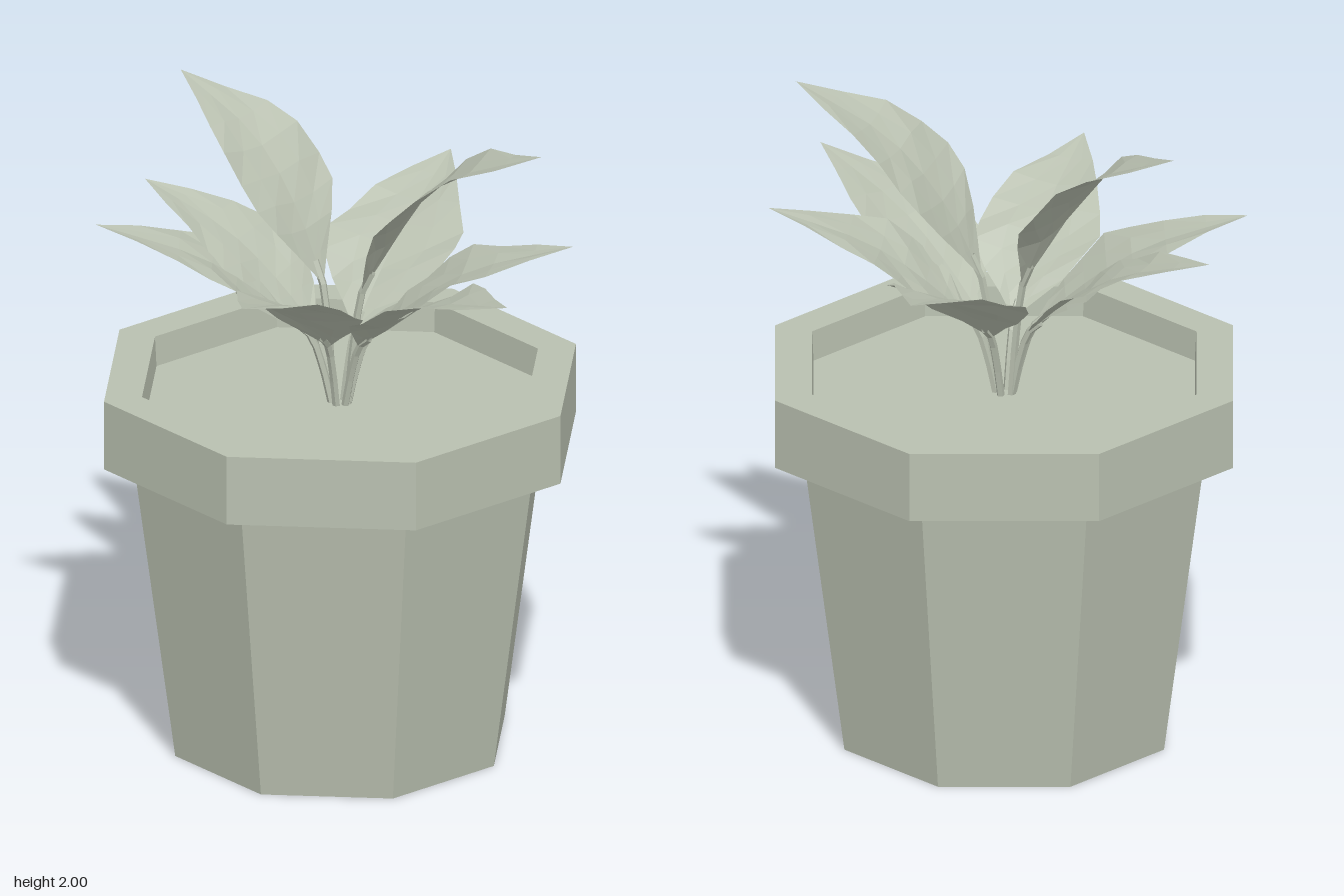
import * as THREE from 'three';

const sage = new THREE.MeshStandardMaterial({ color: 0xb9c0b0, flatShading: true, side: THREE.DoubleSide });
sage.name = 'sage grey';

// Eight-sided turned part from [radius, height] pairs
function turned(name, points) {
  const profile = points.map(([r, y]) => new THREE.Vector2(r, y));
  const mesh = new THREE.Mesh(new THREE.LatheGeometry(profile, 8), sage);
  mesh.name = name;
  return mesh;
}

// Midrib shapes: [fraction of the reach, height]
const LOW = [[0.12, 1.3], [0.3, 1.42], [0.56, 1.545], [1, 1.65]];
const HIGH = [[0.11, 1.46], [0.26, 1.66], [0.53, 1.86], [1, 2]];
// Half-width along the leaf, as a fraction of the widest point
const OUTLINE = [0.04, 0.34, 0.68, 0.92, 1, 0.93, 0.7, 0.36, 0];

// Leaf blade: cross-sections swept along the midrib, slightly folded and wavy
function leafBlade(midrib, side, halfWidth, seed) {
  const rows = OUTLINE.length, cols = 5;
  const positions = [], index = [];
  for (let i = 0; i < rows; i++) {
    const t = i / (rows - 1);
    const centre = midrib.getPoint(t);
    for (let j = 0; j < cols; j++) {
      const s = j / 2 - 1;
      const w = OUTLINE[i] * halfWidth;
      const wave = Math.sin(i * 2.1 + j * 1.7 + seed) * 0.012 * Math.abs(s) * OUTLINE[i];
      const p = centre.clone().addScaledVector(side, s * w * (1 + 0.05 * Math.sin(seed + i * 1.9 + s)));
      p.y += Math.abs(s) * w * 0.12 + wave;
      positions.push(p.x, p.y, p.z);
      if (i < rows - 1 && j < cols - 1) {
        const a = i * cols + j, b = a + cols;
        index.push(a, a + 1, b, a + 1, b + 1, b);
      }
    }
  }
  const geometry = new THREE.BufferGeometry();
  geometry.setAttribute('position', new THREE.Float32BufferAttribute(positions, 3));
  geometry.setIndex(index);
  geometry.computeVertexNormals();
  return geometry;
}

// One leaf with its stem, reaching from the soil to the tip (x, z)
function leaf(name, x, z, shape, halfWidth, bend, seed) {
  const group = new THREE.Group();
  group.name = name;
  const reach = Math.hypot(x, z);
  const side = new THREE.Vector3(z / reach, 0, -x / reach);
  const points = shape.map(([f, y]) =>
    new THREE.Vector3(x * f, y, z * f).addScaledVector(side, bend * Math.sin(Math.PI * f)));
  const blade = new THREE.Mesh(leafBlade(new THREE.CatmullRomCurve3(points), side, halfWidth, seed), sage);
  blade.name = 'leafBlade';

  const foot = new THREE.Vector3(x / reach * 0.025, 1.08, z / reach * 0.025);
  const middle = foot.clone().lerp(points[0], 0.55);
  middle.x *= 0.88;
  middle.z *= 0.88;
  const path = new THREE.CatmullRomCurve3([foot, middle, points[0], points[0].clone().lerp(points[1], 0.3)]);
  const stem = new THREE.Mesh(new THREE.TubeGeometry(path, 6, 0.012, 5), sage);
  stem.name = 'stem';
  group.add(blade, stem);
  return group;
}

export function createModel() {
  const model = new THREE.Group();
  model.name = 'pottedPlant';

  // Pot
  model.add(
    turned('potBody', [[0, 0], [0.52, 0], [0.65, 0.96]]),
    turned('potRim', [[0.65, 0.96], [0.745, 0.96], [0.745, 1.18], [0.625, 1.18], [0.62, 1.085]]),
    turned('soil', [[0.62, 1.085], [0, 1.085]])
  );

  // Leaves: name, tip x, tip z, midrib, half-width, sideways bend
  const leaves = [
    ['backLeaf', 0.01, -0.71, LOW, 0.21, -0.02],
    ['frontLeaf', 0.03, 0.70, LOW, 0.19, 0],
    ['leftFrontLeaf', 0.735, 0.33, LOW, 0.185, 0],
    ['leftBackLeaf', 0.69, -0.19, LOW, 0.18, 0],
    ['rightFrontLeaf', -0.665, 0.31, LOW, 0.18, 0],
    ['rightBackLeaf', -0.70, -0.08, LOW, 0.18, 0],
    ['leftUpperLeaf', 0.67, -0.02, HIGH, 0.2, 0.015],
    ['rightUpperLeaf', -0.61, -0.14, HIGH, 0.185, 0]
  ];
  leaves.forEach((spec, i) => model.add(leaf(...spec, i * 1.3)));

  return model;
}
